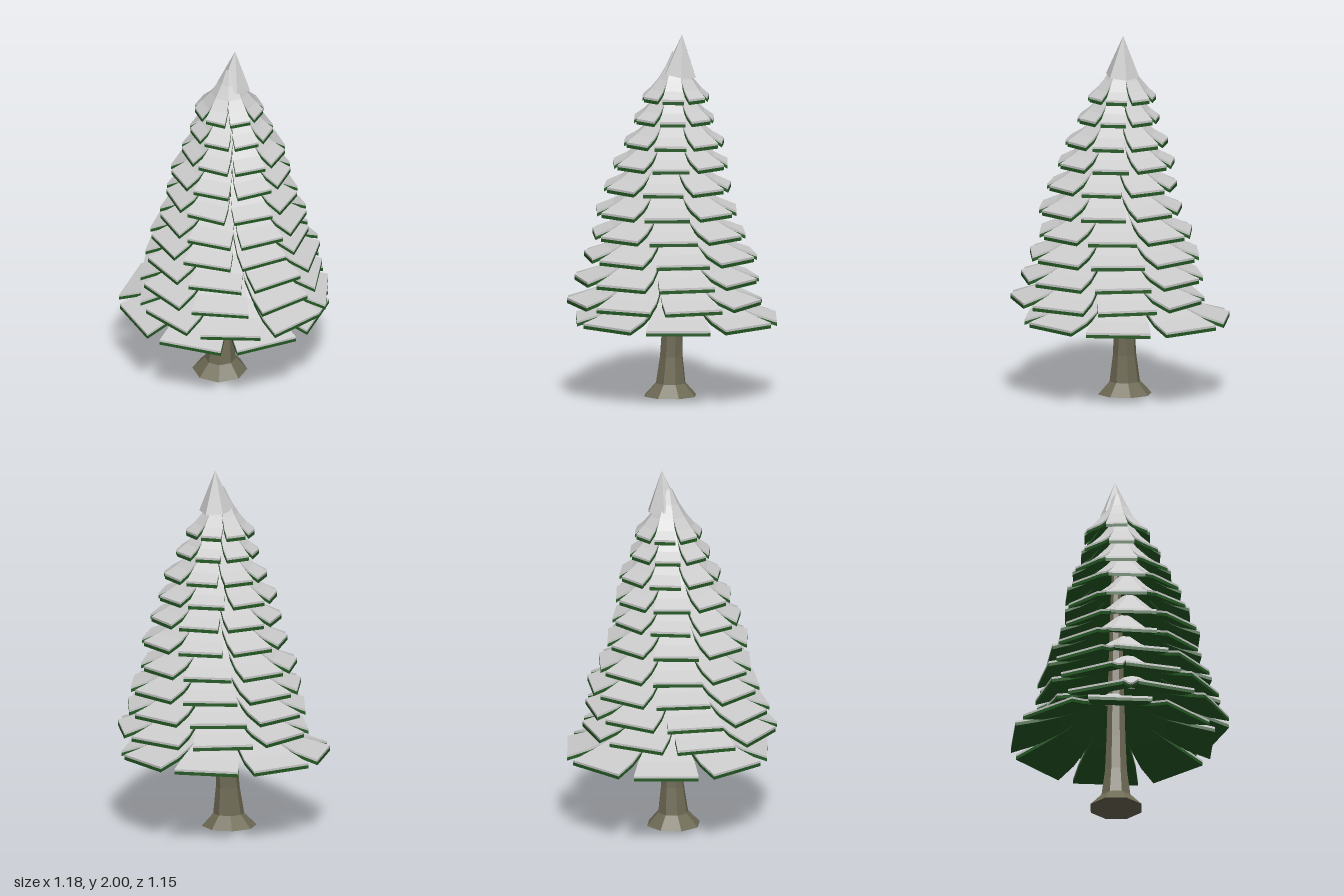
import * as THREE from 'three';

const mat = (color) => new THREE.MeshStandardMaterial({ color, flatShading: true });
const snow = mat(0xcccccc);
const green = mat(0x245a24);
const bark = mat(0x6e6a55);

// Tiers from the bottom up: centre x, centre z, reach, height of tips, turn in degrees
const TIERS = [
  [-0.03, 0.0, 0.545, 0.44, 17.5],
  [0.075, 0.02, 0.505, 0.555, 0],
  [0.05, 0.02, 0.48, 0.675, 5],
  [0.04, 0.0, 0.455, 0.8, 10],
  [0.03, 0.015, 0.41, 0.92, 15],
  [0.06, 0.015, 0.38, 1.05, 18],
  [0.05, 0.015, 0.34, 1.18, 22.5],
  [0.03, 0.005, 0.31, 1.305, 18],
  [0.03, -0.015, 0.268, 1.425, 22.5],
  [0.02, -0.01, 0.215, 1.55, 20],
  [0.0, -0.01, 0.178, 1.665, 22.5],
];

// Bough sections from root to tip: distance and half width (parts of reach), rise
const SECTIONS = [
  [0.1, 0.042, 0.24],
  [0.3, 0.125, 0.16],
  [0.52, 0.212, 0.092],
  [0.76, 0.284, 0.038],
  [1.0, 0.325, 0],
];
const BOUGHS = 8;

// Ring of eight drooping slabs between two depths below the tier's top surface
function boughRing([cx, cz, reach, y, turn], upper, lower, name, material) {
  const pos = [];
  const quad = (a, b, c, d) => pos.push(...a, ...b, ...c, ...a, ...c, ...d);
  for (let k = 0; k < BOUGHS; k++) {
    const a = THREE.MathUtils.degToRad(turn) + (k / BOUGHS) * Math.PI * 2;
    const cos = Math.cos(a), sin = Math.sin(a);
    const point = ([r, w, rise], side, depth) => [
      cx + reach * (r * cos - side * w * sin),
      y + rise - depth,
      cz + reach * (r * sin + side * w * cos),
    ];
    // corners of each section: top right, top left, bottom left, bottom right
    const rings = SECTIONS.map((s) => [
      point(s, -1, upper), point(s, 1, upper), point(s, 1, lower), point(s, -1, lower),
    ]);
    for (let i = 0; i < rings.length - 1; i++) {
      for (let j = 0; j < 4; j++) {
        const n = (j + 1) % 4;
        quad(rings[i][j], rings[i][n], rings[i + 1][n], rings[i + 1][j]);
      }
    }
    const [p, q, r, s] = rings[rings.length - 1];
    quad(s, p, q, r);
  }
  const geo = new THREE.BufferGeometry();
  geo.setAttribute('position', new THREE.Float32BufferAttribute(pos, 3));
  geo.computeVertexNormals();
  const mesh = new THREE.Mesh(geo, material);
  mesh.name = name;
  return mesh;
}

// Eight-sided trunk with a flared foot, leaning slightly back
function makeTrunk() {
  const rows = [[0, 0.15], [0.07, 0.085], [0.22, 0.065], [0.42, 0.056], [1.0, 0.04], [1.75, 0.015]];
  const geo = new THREE.CylinderGeometry(1, 1, 1, 8, rows.length - 1);
  const p = geo.attributes.position;
  for (let i = 0; i < p.count; i++) {
    const [y, r] = rows[Math.round((p.getY(i) + 0.5) * (rows.length - 1))];
    const lean = y / 1.75;
    p.setXYZ(i, p.getX(i) * r - 0.025 + 0.025 * lean, y, p.getZ(i) * r + 0.035 - 0.065 * lean);
  }
  geo.computeVertexNormals();
  const mesh = new THREE.Mesh(geo, bark);
  mesh.name = 'trunk';
  return mesh;
}

// Pointed snowy tip, its apex tilted back and its hem uneven
function makeTip() {
  const geo = new THREE.ConeGeometry(0.095, 0.22, 6, 1);
  const p = geo.attributes.position;
  for (let i = 0; i < p.count; i++) {
    if (p.getY(i) > 0) p.setZ(i, -0.012);
    else if (p.getX(i) ** 2 + p.getZ(i) ** 2 > 0.001) p.setY(i, -0.11 + 0.15 * p.getZ(i));
  }
  geo.computeVertexNormals();
  const mesh = new THREE.Mesh(geo, snow);
  mesh.position.set(0.003, 1.89, -0.04);
  mesh.name = 'treeTip';
  return mesh;
}

export function createModel() {
  const tree = new THREE.Group();
  tree.name = 'snowyFirTree';
  tree.add(makeTrunk());
  TIERS.forEach((tier, i) => {
    const group = new THREE.Group();
    group.name = `branchTier${i + 1}`;
    group.add(boughRing(tier, 0, 0.012, 'snowCover', snow));
    group.add(boughRing(tier, 0.012, 0.03, 'greenBoughs', green));
    tree.add(group);
  });
  tree.add(makeTip());
  return tree;
}
